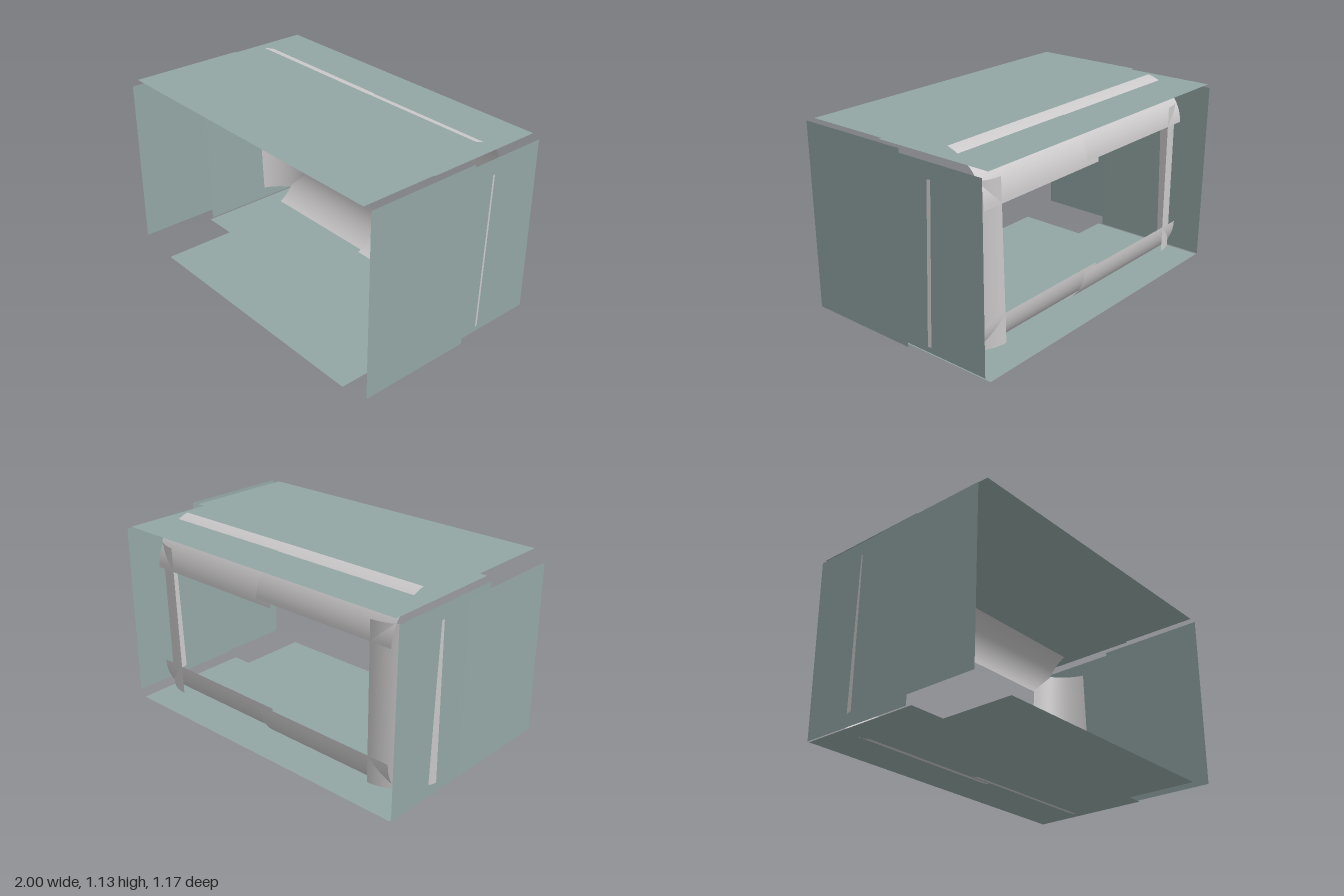
import * as THREE from 'three';

const panelMat = new THREE.MeshStandardMaterial({ color: 0x92a6a4, side: THREE.DoubleSide });
panelMat.name = 'greyGreen';
const frameMat = new THREE.MeshStandardMaterial({ color: 0xcac8c8, side: THREE.DoubleSide });
frameMat.name = 'lightGrey';

const lerp = THREE.MathUtils.lerp;

// Thin sheet from a rule giving the point at (s, t), both 0..1
function sheet(name, mat, segments, rule) {
  const geo = new THREE.PlaneGeometry(1, 1, 1, segments);
  const pos = geo.attributes.position;
  for (let i = 0; i < pos.count; i++) {
    pos.setXYZ(i, ...rule(pos.getX(i) + 0.5, pos.getY(i) + 0.5));
  }
  geo.computeVertexNormals();
  const mesh = new THREE.Mesh(geo, mat);
  mesh.name = name;
  return mesh;
}

// Flared frame bar: curves from the inner edge at the back to the outer edge in front.
// along = [start, end], inner and zOuter give values at both ends.
function bar(name, upright, along, inner, outer, zOuter = [-0.25, -0.25]) {
  const sweep = THREE.MathUtils.degToRad(75);
  return sheet(name, frameMat, 14, (s, t) => {
    const across = Math.sin(t * sweep) / Math.sin(sweep);
    const depth = (1 - Math.cos(t * sweep)) / (1 - Math.cos(sweep));
    const p = lerp(along[0], along[1], s);
    const q = lerp(lerp(inner[0], inner[1], s), outer, across);
    const z = lerp(-0.48, lerp(zOuter[0], zOuter[1], s), depth);
    return upright ? [q, p, z] : [p, q, z];
  });
}

const level = (name, y, x0, x1, z0, z1) =>
  sheet(name, panelMat, 1, (s, t) => [lerp(x0, x1, s), y, lerp(z1, z0, t)]);

// Side panel; x may differ between its bottom and top edge
const side = (name, xLow, xHigh, y0, y1, z0, z1) =>
  sheet(name, panelMat, 1, (s, t) => [lerp(xLow, xHigh, t), lerp(y0, y1, t), lerp(z0, z1, s)]);

export function createModel() {
  const model = new THREE.Group();
  model.name = 'panelledFrame';

  // Window frame: crossing bars, top and bottom in two overlapping halves
  const frame = new THREE.Group();
  frame.name = 'frame';
  frame.add(
    bar('topBarRightHalf', false, [-0.85, 0.05], [0.885, 0.885], 1.13),
    bar('topBarLeftHalf', false, [-0.05, 0.845], [0.86, 0.86], 1.13, [-0.25, -0.255]),
    bar('bottomBarRightHalf', false, [-0.85, 0.05], [0.26, 0.26], 0),
    bar('bottomBarLeftHalf', false, [-0.05, 0.845], [0.275, 0.275], 0.015),
    bar('rightBar', true, [0.105, 1.0], [-0.72, -0.72], -0.98),
    bar('leftBar', true, [0.105, 1.0], [0.695, 0.725], 0.977, [-0.21, -0.245])
  );

  // Outer panels: a rear set and a slightly wider front set overlapping it
  const panels = new THREE.Group();
  panels.name = 'panels';
  panels.add(
    level('rearTopPanel', 1.106, -0.957, 0.932, -0.587, 0.12),
    level('frontTopPanel', 1.121, -0.935, 0.945, -0.087, 0.585),
    level('rearBottomPanel', 0.035, -0.955, 0.935, -0.587, 0.15),
    level('frontBottomPanel', 0.031, -0.75, 0.82, -0.087, 0.585),
    side('rearRightPanel', -0.965, -0.977, 0.036, 1.08, -0.587, 0.125),
    side('frontRightPanel', -1.0, -1.0, 0.07, 1.06, -0.087, 0.585),
    side('rearLeftPanel', 0.972, 0.972, 0.072, 1.086, -0.587, 0.125),
    side('frontLeftPanel', 0.995, 0.995, 0.066, 1.12, -0.087, 0.585)
  );

  model.add(frame, panels);
  return model;
}
